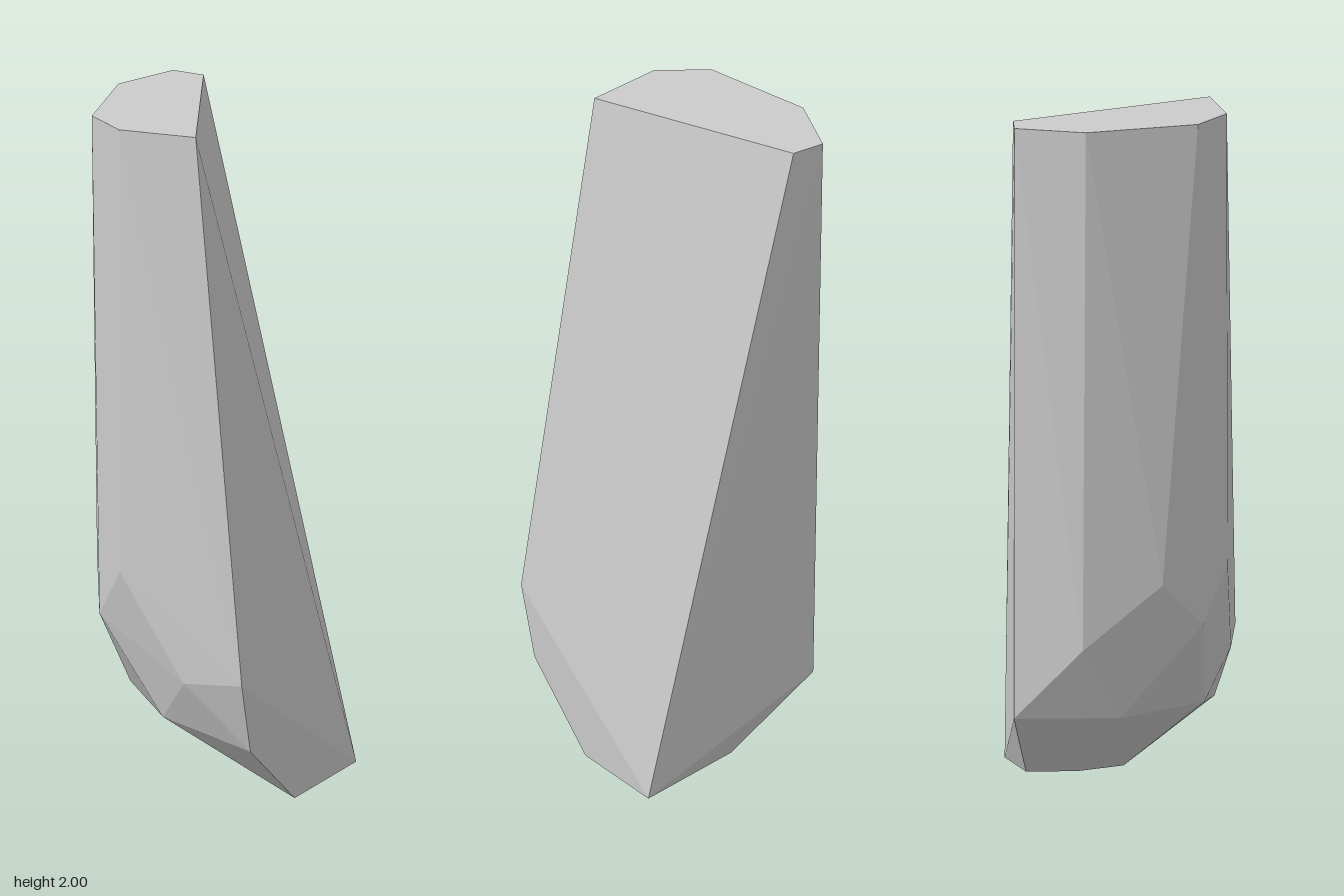
import * as THREE from 'three';
import { ConvexGeometry } from 'three/addons/geometries/ConvexGeometry.js';

export function createModel() {
  const group = new THREE.Group();
  group.name = 'rockShard';

  // Flat cut at the top: x, z pairs
  const top = [
    [-0.27, -0.324], [-0.17, -0.324], [0.135, 0.25],
    [-0.095, 0.29], [-0.235, 0.203], [-0.335, -0.122],
  ].map(([x, z]) => [x, 2, z]);

  // Corners where the long side faces end
  const shoulder = [
    [0.333, 0.415, 0.33], [0.13, 0.39, 0.31], [-0.09, 0.685, 0.293],
    [-0.2, 0.53, 0.22], [-0.277, 0.66, 0.1], [-0.322, 0.48, -0.13],
  ];

  // Chipped foot
  const foot = [
    [0.327, 0.205, 0.27], [0.015, 0.255, 0.23], [-0.237, 0.265, -0.02],
    [-0.237, 0.265, -0.324], [0.015, 0.055, -0.134], [0.015, 0.055, -0.28],
    [0.323, 0.003, 0.01], [0.33, 0.028, -0.33],
  ];

  const points = [...top, ...shoulder, ...foot].map((p) => new THREE.Vector3(...p));
  const shard = new THREE.Mesh(
    new ConvexGeometry(points),
    new THREE.MeshStandardMaterial({ color: 0xcccccc, flatShading: true })
  );
  shard.name = 'shard';
  group.add(shard);
  return group;
}
